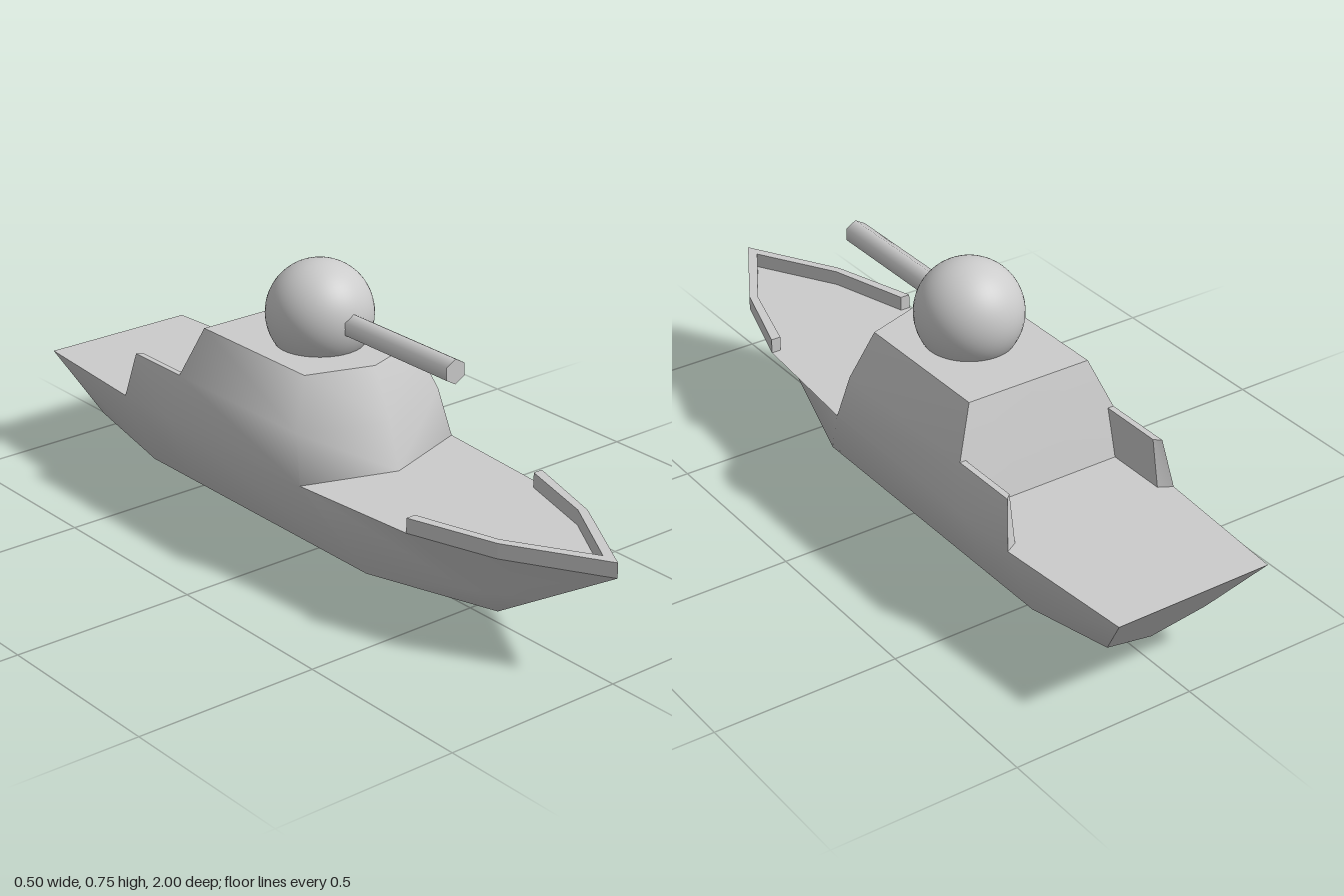
import * as THREE from 'three';
import { toCreasedNormals } from 'three/addons/utils/BufferGeometryUtils.js';

const material = new THREE.MeshStandardMaterial({ color: 0xcccccc });

// Skins grids of [x, y, z] points on the +x side and mirrors them to -x.
function mirroredGeometry(grids, crease) {
  const pos = [];
  const same = (p, q) => p.every((v, k) => v === q[k]);
  const flip = ([x, y, z]) => [-x, y, z];
  const tri = (a, b, c) => {
    if (same(a, b) || same(b, c) || same(a, c)) return;
    pos.push(...a, ...b, ...c, ...flip(a), ...flip(c), ...flip(b));
  };
  for (const rows of grids) {
    for (let i = 0; i < rows.length - 1; i++) {
      for (let j = 0; j < rows[i].length - 1; j++) {
        const a = rows[i][j], b = rows[i + 1][j], c = rows[i + 1][j + 1], d = rows[i][j + 1];
        tri(a, b, c);
        tri(a, c, d);
      }
    }
  }
  const geometry = new THREE.BufferGeometry();
  geometry.setAttribute('position', new THREE.Float32BufferAttribute(pos, 3));
  return toCreasedNormals(geometry, crease);
}

export function createModel() {
  const group = new THREE.Group();
  const add = (name, geometry) => {
    const mesh = new THREE.Mesh(geometry, material);
    mesh.name = name;
    group.add(mesh);
    return mesh;
  };
  const deckY = 0.275, wingY = 0.4, roofY = 0.53;

  // Hull stations from stern to bow: deck edge, chine, keel
  const hull = [
    [[0.22, deckY, -1], [0.148, 0.11, -0.87], [0, 0.07, -0.85]],
    [[0.25, deckY, -0.61], [0.168, 0.07, -0.6], [0, 0, -0.6]],
    [[0.25, deckY, -0.42], [0.168, 0.07, -0.42], [0, 0, -0.42]],
    [[0.25, deckY, 0.14], [0.168, 0.07, 0.3], [0, 0, 0.3]],
    [[0.22, deckY, 0.51], [0.09, 0.115, 0.6], [0, 0.03, 0.6]],
    [[0.145, deckY, 0.75], [0.056, 0.175, 0.75], [0, 0.122, 0.75]],
    [[0, deckY, 1], [0, deckY, 1], [0, deckY, 1]],
  ];

  // Cabin side from the rear, round the front corner, to the centre line
  const cabin = [
    [[0.178, roofY, -0.345], [0.232, wingY, -0.385], [0.25, deckY, -0.42]],
    [[0.178, roofY, 0.07], [0.232, wingY, 0.105], [0.25, deckY, 0.14]],
    [[0, roofY, 0.13], [0, wingY, 0.19], [0, deckY, 0.225]],
  ];

  // Outer face of the side wing behind the cabin
  const wingOuter = [
    [[0.232, wingY, -0.58], [0.25, deckY, -0.61]],
    [[0.232, wingY, -0.385], [0.25, deckY, -0.42]],
  ];
  const wingInner = [
    [[0.215, wingY, -0.385], [0.215, deckY, -0.42]],
    [[0.215, wingY, -0.565], [0.215, deckY, -0.59]],
  ];
  add('hullAndCabinSides', mirroredGeometry([hull, cabin, wingOuter], 1.25));

  // Flat plates closing the hull and cabin
  add('deck', mirroredGeometry([hull.map(([e]) => [[0, e[1], e[2]], e])], 0.1));
  add('transom', mirroredGeometry([[
    [[0, deckY, -1], hull[0][2]],
    [hull[0][0], hull[0][1]],
  ]], 0.1));
  add('cabinRoof', mirroredGeometry([[
    [[0, roofY, -0.345], cabin[0][0]],
    [cabin[2][0], cabin[1][0]],
  ]], 0.1));
  add('cabinBackWall', mirroredGeometry([[
    cabin[0].map(([, y, z]) => [0, y, z]),
    cabin[0],
  ]], 0.3));
  add('sideWings', mirroredGeometry([
    wingInner,
    [[wingInner[1][0], wingOuter[0][0]], [wingInner[0][0], wingOuter[1][0]]],
    [wingInner[1], wingOuter[0]],
  ], 0.3));

  // Raised rail around the bow
  const rail = [
    [0.22, 0.51], [0.145, 0.75], [0, 1], [-0.145, 0.75], [-0.22, 0.51],
    [-0.193, 0.51], [-0.127, 0.735], [0, 0.95], [0.127, 0.735], [0.193, 0.51],
  ];
  const railShape = new THREE.Shape(rail.map(([x, z]) => new THREE.Vector2(x, -z)));
  const railGeometry = new THREE.ExtrudeGeometry(railShape, { depth: 0.04, bevelEnabled: false });
  railGeometry.rotateX(-Math.PI / 2);
  add('bowRail', railGeometry).position.y = deckY;

  // Ball turret and six-sided gun barrel
  add('turret', new THREE.SphereGeometry(0.14, 48, 32)).position.set(0, 0.608, -0.09);
  const barrel = add('gunBarrel', new THREE.CylinderGeometry(0.033, 0.033, 0.43, 6));
  barrel.rotation.x = Math.PI / 2;
  barrel.position.set(0, 0.608, 0.215);

  return group;
}
